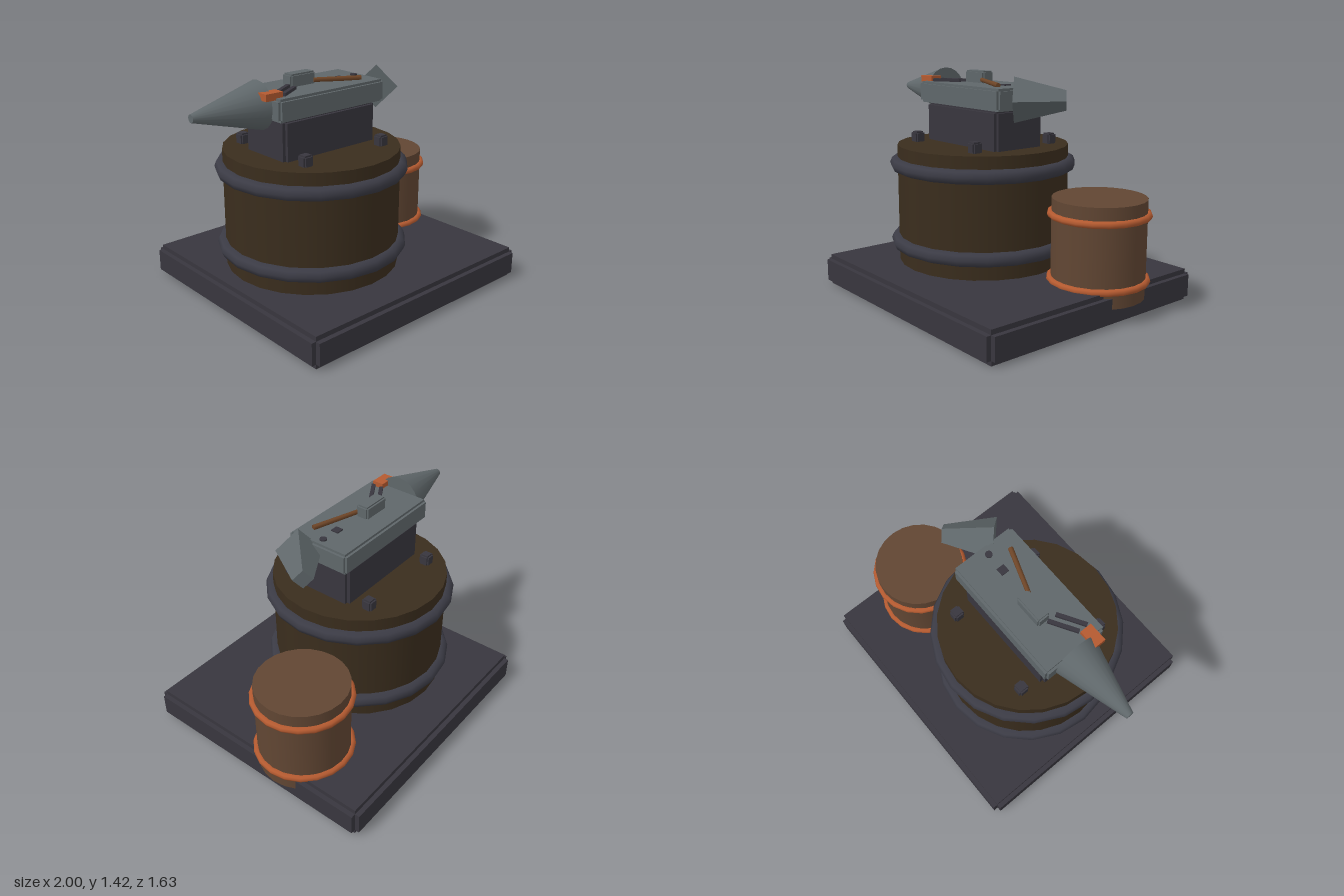
import * as THREE from 'three';
import { mergeGeometries } from 'three/addons/utils/BufferGeometryUtils.js';

const mat = (name, color, flatShading = false) => {
  const m = new THREE.MeshStandardMaterial({ color, flatShading });
  m.name = name;
  return m;
};

// Box with notched edges: three crossed boxes, each full size along one axis
function notchedBox(w, h, d, b) {
  const c = 2 * b;
  return mergeGeometries([
    new THREE.BoxGeometry(w, h - c, d - c),
    new THREE.BoxGeometry(w - c, h, d - c),
    new THREE.BoxGeometry(w - c, h - c, d),
  ]);
}

export function createModel() {
  const model = new THREE.Group();
  model.name = 'anvilOnStump';

  const darkIron = mat('dark iron', 0x38363e);
  const bandIron = mat('band iron', 0x3b3b45);
  const darkWood = mat('dark wood', 0x3a2d1d);
  const barrelWood = mat('barrel wood', 0x614633);
  const copper = mat('copper', 0xb45a30);
  const steel = mat('steel', 0x5f676a);
  const handleWood = mat('handle wood', 0x6e4527);

  const add = (name, geometry, material, x, y, z, parent = model) => {
    const mesh = new THREE.Mesh(geometry, material);
    mesh.name = name;
    mesh.position.set(x, y, z);
    parent.add(mesh);
    return mesh;
  };

  // Floor slab
  add('baseSlab', notchedBox(1.754, 0.2, 1.626, 0.03), darkIron, 0.053, 0.1, 0);

  // Hooped wooden cylinder, used for the stump and the barrel
  const hooped = (name, r, y0, y1, x, z, hoopR, tube, hoops, wood, metal) => {
    const g = new THREE.Group();
    g.name = name;
    g.position.set(x, 0, z);
    model.add(g);
    add(name + 'Body', new THREE.CylinderGeometry(r, r, y1 - y0, 24), wood, 0, (y0 + y1) / 2, 0, g);
    for (const y of hoops) {
      const hoop = new THREE.TorusGeometry(hoopR, tube, 8, 20).rotateX(Math.PI / 2);
      add(name + 'Hoop', hoop, metal, 0, y, 0, g);
    }
  };
  hooped('stump', 0.55, 0.19, 0.955, -0.15, 0, 0.556, 0.045, [0.33, 0.833], darkWood, bandIron);
  hooped('barrel', 0.286, 0.105, 0.705, 0.681, -0.224, 0.292, 0.022, [0.207, 0.607], barrelWood, copper);

  // Bolts on the stump top
  for (const x of [-0.45, 0.152])
    for (const z of [-0.301, 0.301])
      add('bolt', notchedBox(0.068, 0.075, 0.068, 0.01), darkIron, x, 0.985, z);

  // Anvil waist and body
  add('anvilWaist', notchedBox(0.72, 0.27, 0.376, 0.02), darkIron, -0.147, 1.07, 0);
  add('anvilBody', notchedBox(0.82, 0.136, 0.425, 0.015), steel, -0.146, 1.268, 0);

  // Tapered horn pointing to the right side
  const horn = new THREE.CylinderGeometry(0.024, 0.147, 0.45, 20).rotateZ(Math.PI / 2);
  add('horn', horn, steel, -0.775, 1.27, 0);

  // Four-sided heel, turned toward the back
  const heel = new THREE.CylinderGeometry(0.06, 0.137, 0.308, 4)
    .rotateZ(-Math.PI / 2).rotateY(Math.PI / 4).toNonIndexed();
  heel.computeVertexNormals();
  add('heel', heel, steel, 0.398, 1.27, 0.004);

  // Hammer lying on the face
  add('hammerHead', notchedBox(0.19, 0.085, 0.085, 0.01), steel, -0.22, 1.37, -0.027);
  const handle = add('hammerHandle', new THREE.CylinderGeometry(0.014, 0.016, 0.31, 8).rotateZ(Math.PI / 2),
    handleWood, 0.005, 1.352, 0.066);
  handle.rotation.set(0, -0.35, -0.04, 'YXZ');

  // Tongs gripping a hot workpiece
  for (const z of [0.04, 0.1]) {
    const bar = add('tongBar', new THREE.BoxGeometry(0.185, 0.024, 0.024), darkIron, -0.4, 1.343, z);
    bar.rotation.y = 0.54;
  }
  add('workpiece', new THREE.BoxGeometry(0.12, 0.042, 0.075), copper, -0.55, 1.347, 0.122);

  // Tool holes, drawn as thin plates
  add('squareHole', new THREE.BoxGeometry(0.05, 0.008, 0.05), darkIron, 0.076, 1.339, 0);
  add('roundHole', new THREE.CylinderGeometry(0.022, 0.022, 0.009, 12), darkIron, 0.202, 1.34, 0);

  return model;
}
